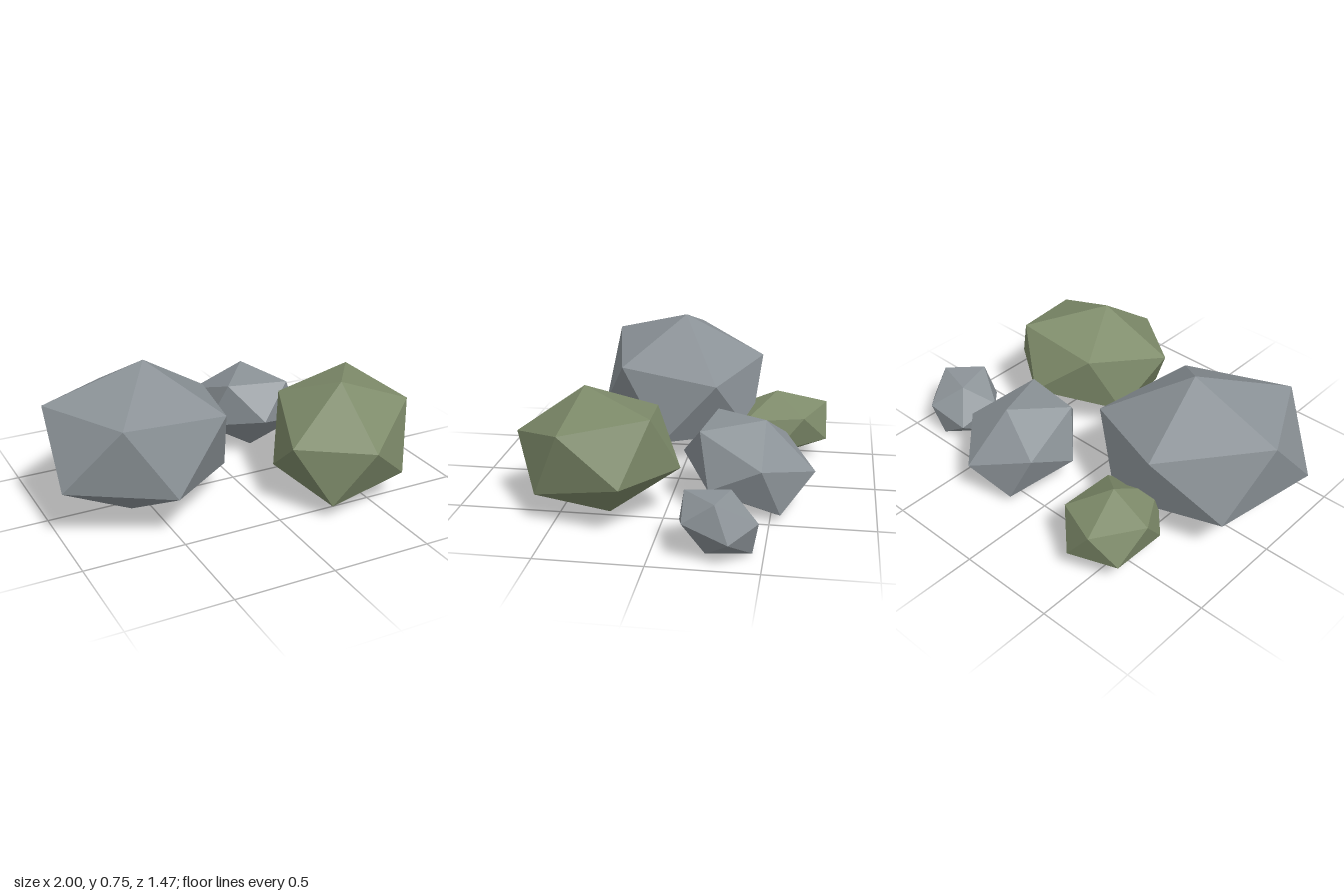
import * as THREE from 'three';

// Each rock is an icosahedron stretched and tilted along three axes of its own.
const ROCKS = [
  { name: 'largeGreyRock', color: 'grey', center: [-0.545, 0.385, 0.055],
    axes: [[0.472, 0.142, 0.026], [-0.23, 0.353, -0.042], [-0.113, 0.047, 0.487]] },
  { name: 'largeMossyRock', color: 'moss', center: [0.435, 0.315, 0.325],
    axes: [[0.309, 0.234, -0.105], [-0.245, 0.207, 0.141], [0.097, -0.063, 0.389]] },
  { name: 'mediumGreyRock', color: 'grey', center: [0.27, 0.232, -0.38],
    axes: [[0.24, 0.138, 0.081], [-0.135, 0.167, -0.146], [-0.141, 0.124, 0.289]] },
  { name: 'smallMossyRock', color: 'moss', center: [-0.45, 0.187, -0.487],
    axes: [[0.215, 0.082, 0.021], [-0.124, 0.162, 0.005], [0.012, -0.024, 0.297]] },
  { name: 'smallGreyRock', color: 'grey', center: [0.815, 0.153, -0.297],
    axes: [[0.191, 0.009, 0.049], [0.05, 0.159, -0.028], [-0.037, 0.067, 0.196]] },
];

export function createModel() {
  const group = new THREE.Group();
  group.name = 'rockCluster';
  const materials = {
    grey: new THREE.MeshStandardMaterial({ color: 0x8b9297, flatShading: true }),
    moss: new THREE.MeshStandardMaterial({ color: 0x7e8b6a, flatShading: true }),
  };

  for (const { name, color, center, axes } of ROCKS) {
    const stretch = new THREE.Matrix4().makeBasis(...axes.map((a) => new THREE.Vector3(...a)));
    const geometry = new THREE.IcosahedronGeometry(1, 0).applyMatrix4(stretch);
    geometry.computeVertexNormals();
    const rock = new THREE.Mesh(geometry, materials[color]);
    rock.name = name;
    rock.position.set(...center);
    group.add(rock);
  }
  return group;
}
